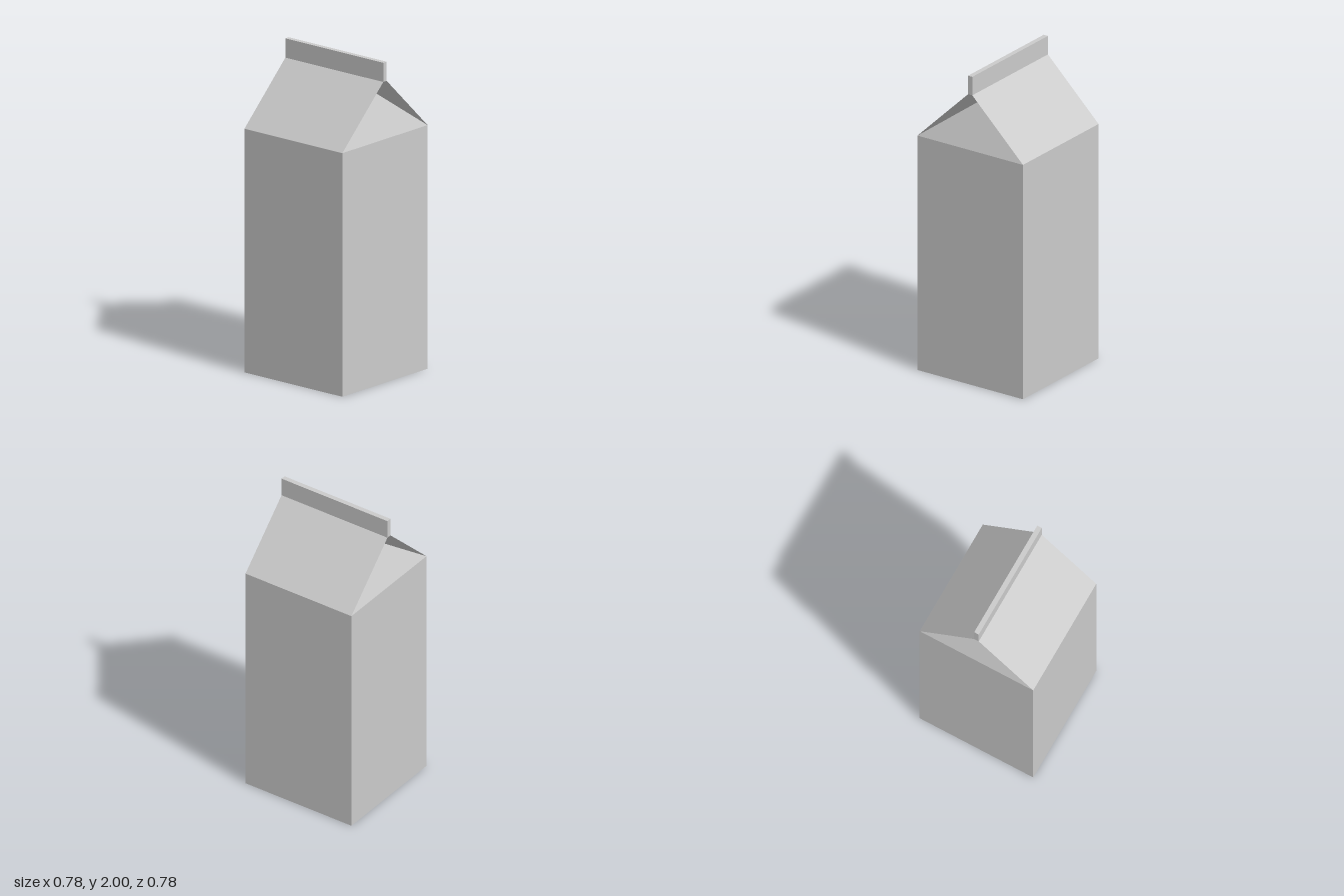
import * as THREE from 'three';

const HALF = 0.388;       // half width of the carton
const SHOULDER = 1.52;    // top of the square body
const RIDGE = 1.88;       // where the roof meets the sealed fin
const TOP = 2;
const FIN = 0.0155;       // half thickness of the fin
const TUCK = new THREE.Vector3(0.265, 1.807, 0); // inner point of the folded gable

const material = new THREE.MeshStandardMaterial({ color: 0xcccccc, flatShading: true });

function part(name, geometry, y = 0) {
  const mesh = new THREE.Mesh(geometry, material);
  mesh.name = name;
  mesh.position.y = y;
  return mesh;
}

// Flat faces from convex corner loops, counter-clockwise from outside
function facets(...loops) {
  const points = [];
  for (const loop of loops) {
    for (let i = 1; i < loop.length - 1; i++) points.push(loop[0], loop[i], loop[i + 1]);
  }
  const geometry = new THREE.BufferGeometry().setFromPoints(points);
  geometry.computeVertexNormals();
  return geometry;
}

export function createModel() {
  const group = new THREE.Group();
  group.name = 'carton';

  group.add(part('body', new THREE.BoxGeometry(2 * HALF, SHOULDER, 2 * HALF), SHOULDER / 2));
  group.add(part('topFin', new THREE.BoxGeometry(2 * HALF, TOP - RIDGE, 2 * FIN), (TOP + RIDGE) / 2));

  // Shoulder and ridge corners, by side in x and z
  const eave = (sx, sz) => new THREE.Vector3(sx * HALF, SHOULDER, sz * HALF);
  const ridge = (sx, sz) => new THREE.Vector3(sx * HALF, RIDGE, sz * FIN);

  // One sloping panel and one tucked-in gable end
  const slope = facets([eave(-1, 1), eave(1, 1), ridge(1, 1), ridge(-1, 1)]);
  const gable = facets(
    [eave(1, 1), eave(1, -1), TUCK],    // sloping end triangle
    [eave(1, 1), TUCK, ridge(1, 1)],    // front fold
    [eave(1, -1), ridge(1, -1), TUCK],  // back fold
    [TUCK, ridge(1, -1), ridge(1, 1)]   // crease under the fin
  );

  // Repeat both, turned half a circle
  [['frontRoof', 'leftGable'], ['backRoof', 'rightGable']].forEach(([roofName, gableName], i) => {
    const roof = part(roofName, slope);
    const end = part(gableName, gable);
    roof.rotation.y = end.rotation.y = i * Math.PI;
    group.add(roof, end);
  });

  return group;
}
